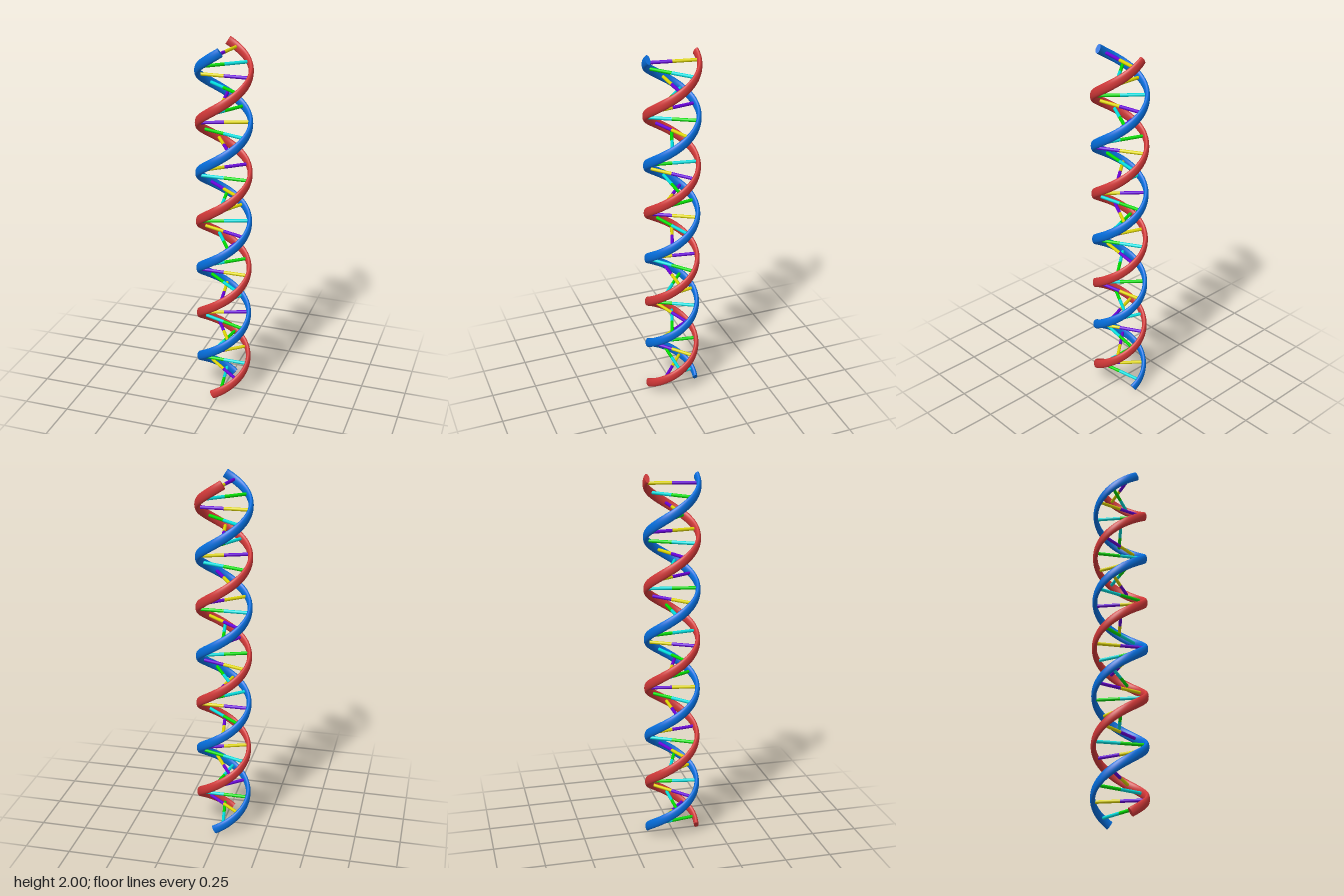
import * as THREE from 'three';
import { ParametricGeometry } from 'three/addons/geometries/ParametricGeometry.js';

const RUNGS = 32, STEP = 0.0612, TURN = THREE.MathUtils.degToRad(40);
const RADIUS = 0.1373, ROD = 0.0088;
const THICK = 0.0132, TALL = 0.0247; // half axes of the oval strand section

const mat = (name, color) => {
  const m = new THREE.MeshStandardMaterial({ color });
  m.name = name;
  return m;
};

// Position and frame of a strand at rung index i; side is +1 or -1
function helixFrame(i, side) {
  const a = THREE.MathUtils.degToRad(10) + i * TURN;
  const out = new THREE.Vector3(side * Math.sin(a), 0, side * Math.cos(a));
  const along = new THREE.Vector3(RADIUS * out.z, STEP / TURN, -RADIUS * out.x).normalize();
  const across = along.clone().cross(out);
  const pos = out.clone().multiplyScalar(RADIUS);
  pos.y = 1 + (i - (RUNGS - 1) / 2) * STEP;
  return { pos, out, along, across };
}

// One strand: an oval section swept along the helix, with flat caps
function makeStrand(name, side, material) {
  const group = new THREE.Group();
  group.name = name;
  const sweep = (u, v, target) => {
    const f = helixFrame(v * RUNGS - 0.5, side);
    const phi = u * Math.PI * 2;
    target.copy(f.pos)
      .addScaledVector(f.out, THICK * Math.cos(phi))
      .addScaledVector(f.across, TALL * Math.sin(phi));
  };
  const tube = new THREE.Mesh(new ParametricGeometry(sweep, 24, 384), material);
  tube.name = name + 'Tube';
  group.add(tube);
  for (const end of [-1, 1]) {
    const f = helixFrame(end < 0 ? -0.5 : RUNGS - 0.5, side);
    const cap = new THREE.Mesh(new THREE.CircleGeometry(1, 24), material);
    cap.name = name + 'Cap';
    cap.quaternion.setFromRotationMatrix(new THREE.Matrix4().makeBasis(
      f.out, f.across.multiplyScalar(end), f.along.multiplyScalar(end)));
    cap.scale.set(THICK, TALL, 1);
    cap.position.copy(f.pos);
    group.add(cap);
  }
  return group;
}

export function createModel() {
  const model = new THREE.Group();
  model.name = 'doubleHelix';
  const red = mat('red', 0xd03838), blue = mat('blue', 0x056edc);
  const green = mat('green', 0x00dc00), purple = mat('purple', 0x6800d8);
  const cyan = mat('cyan', 0x00dcdc), yellow = mat('yellow', 0xdcd400);

  model.add(makeStrand('redStrand', 1, red), makeStrand('blueStrand', -1, blue));

  // Rungs: two half rods of paired colours meeting on the axis
  const order = [green, purple, cyan, yellow];
  const rod = new THREE.CylinderGeometry(ROD, ROD, RADIUS, 16);
  const up = new THREE.Vector3(0, 1, 0);
  for (let i = 0; i < RUNGS; i++) {
    const rung = new THREE.Group();
    rung.name = 'rung';
    for (const side of [1, -1]) {
      const half = new THREE.Mesh(rod, order[(i + (side > 0 ? 0 : 2)) % 4]);
      half.name = 'rungHalf';
      const { pos, out } = helixFrame(i, side);
      half.position.set(pos.x / 2, pos.y, pos.z / 2);
      half.quaternion.setFromUnitVectors(up, out);
      rung.add(half);
    }
    model.add(rung);
  }
  return model;
}
